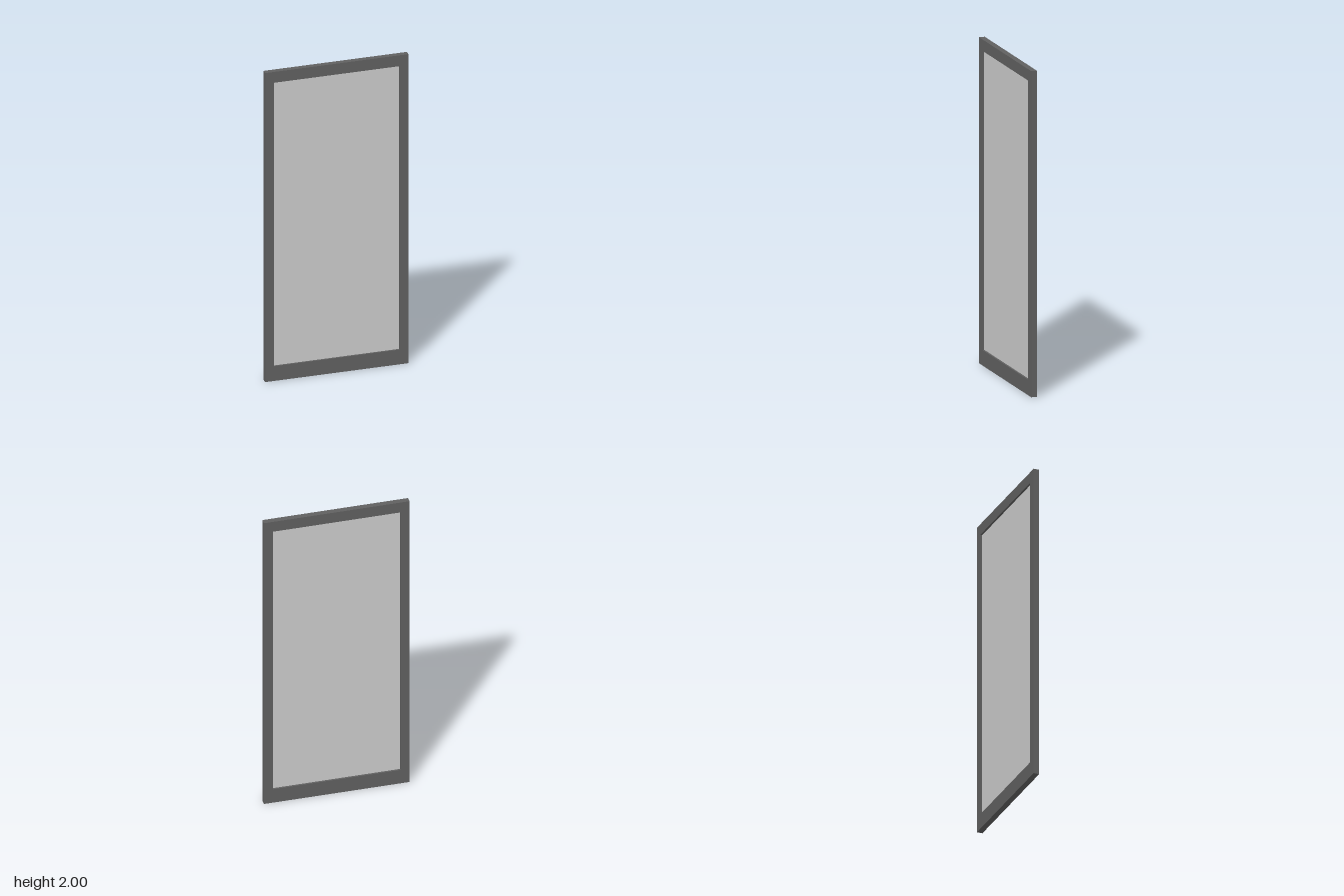
import * as THREE from 'three';

const WIDTH = 0.9, HEIGHT = 2, DEPTH = 0.036;
const OPENING = { x: 0.395, bottom: 0.095, top: 1.93 };
const PANE_DEPTH = 0.012;

// Traces a rectangle, symmetric about x = 0, on a Shape or Path
function rectangle(path, halfWidth, bottom, top) {
  path.moveTo(-halfWidth, bottom);
  path.lineTo(halfWidth, bottom);
  path.lineTo(halfWidth, top);
  path.lineTo(-halfWidth, top);
  path.closePath();
  return path;
}

export function createModel() {
  const model = new THREE.Group();
  model.name = 'framedPanel';

  // Frame with a deeper bottom rail, cut through by the opening
  const outline = rectangle(new THREE.Shape(), WIDTH / 2, 0, HEIGHT);
  outline.holes.push(rectangle(new THREE.Path(), OPENING.x, OPENING.bottom, OPENING.top));
  const frameGeometry = new THREE.ExtrudeGeometry(outline, { depth: DEPTH, bevelEnabled: false });
  frameGeometry.translate(0, 0, -DEPTH / 2);
  const frame = new THREE.Mesh(frameGeometry, new THREE.MeshStandardMaterial({ color: 0x606060 }));
  frame.name = 'frame';
  model.add(frame);

  // Thin pane, recessed equally on both sides
  const pane = new THREE.Mesh(
    new THREE.BoxGeometry(OPENING.x * 2, OPENING.top - OPENING.bottom, PANE_DEPTH),
    new THREE.MeshStandardMaterial({ color: 0xcccccc })
  );
  pane.name = 'pane';
  pane.position.y = (OPENING.top + OPENING.bottom) / 2;
  model.add(pane);

  return model;
}
